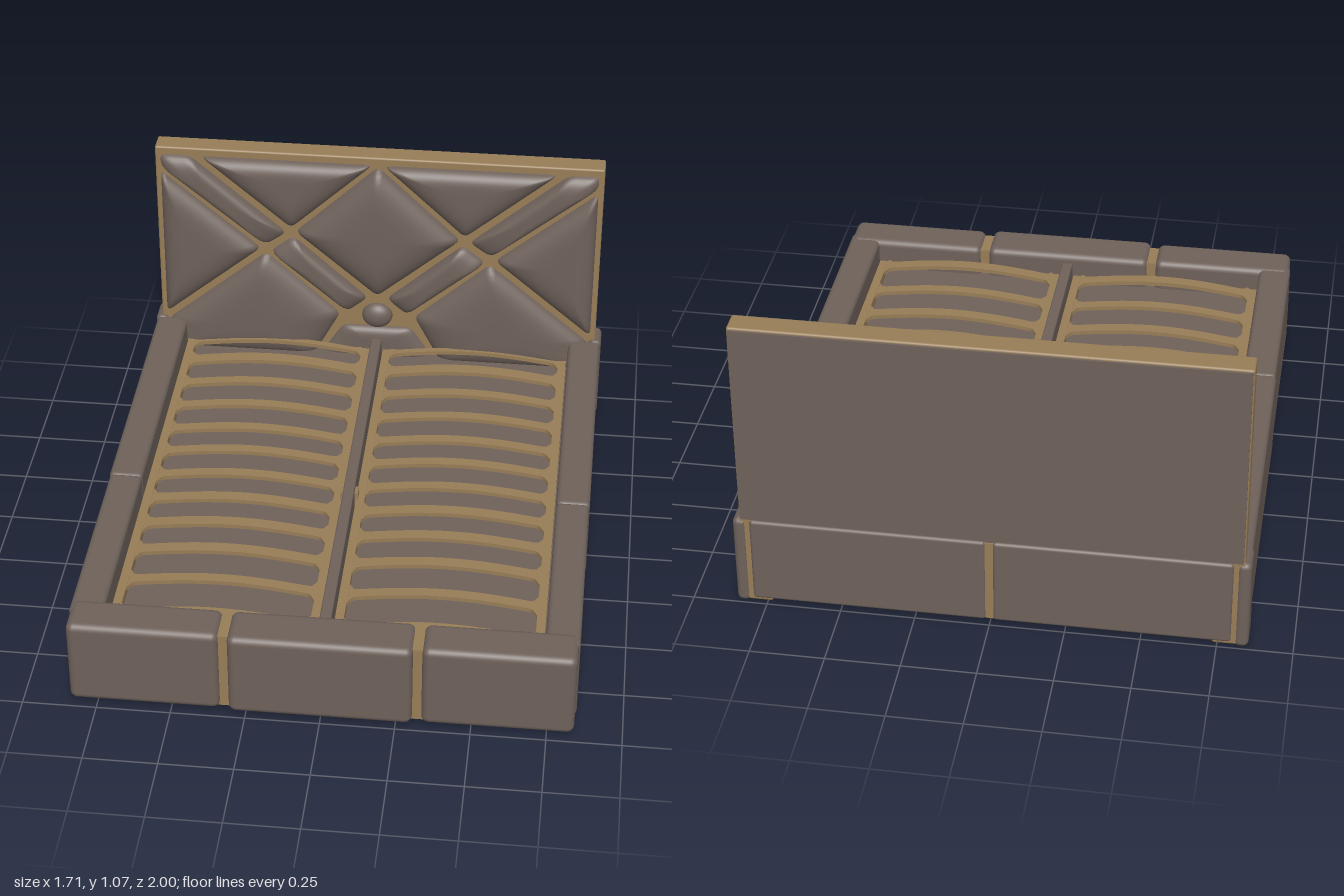
import * as THREE from 'three';
import { RoundedBoxGeometry } from 'three/addons/geometries/RoundedBoxGeometry.js';

const fabric = new THREE.MeshStandardMaterial({ color: 0x6e615a });
fabric.name = 'taupe fabric';
const wood = new THREE.MeshStandardMaterial({ color: 0x977d57 });
wood.name = 'tan wood';

export function createModel() {
  const bed = new THREE.Group();
  bed.name = 'bed';

  const add = (name, geometry, material) => {
    const mesh = new THREE.Mesh(geometry, material);
    mesh.name = name;
    bed.add(mesh);
    return mesh;
  };
  // Box given by its two extreme corners; a radius rounds the edges
  const box = (name, material, [x0, x1], [y0, y1], [z0, z1], radius = 0) => {
    const size = [x1 - x0, y1 - y0, z1 - z0];
    const g = radius ? new RoundedBoxGeometry(...size, 3, radius) : new THREE.BoxGeometry(...size);
    g.translate((x0 + x1) / 2, (y0 + y1) / 2, (z0 + z1) / 2);
    return add(name, g, material);
  };
  const span = (s, a, b) => (s > 0 ? [a, b] : [-b, -a]);

  // Base platform
  box('basePlatform', fabric, [-0.8, 0.8], [0.03, 0.22], [-0.96, 0.9]);

  // Footboard: three cushions over a wooden core
  box('footboardCore', wood, [-0.36, 0.36], [0.025, 0.32], [0.855, 0.97]);
  box('footboardCentre', fabric, [-0.305, 0.305], [0.02, 0.335], [0.84, 1], 0.025);

  for (const s of [1, -1]) {
    box('footboardCushion', fabric, span(s, 0.335, 0.84), [0.02, 0.335], [0.84, 0.99], 0.025);
    // Side rails in two upholstered sections
    box('sideRailFront', fabric, span(s, 0.73, 0.845), [0.02, 0.33], [0.13, 0.9], 0.018);
    box('sideRailRear', fabric, span(s, 0.73, 0.848), [0.02, 0.33], [-0.9, 0.14], 0.018);
    // Rear corner posts and the exposed wood beside them
    box('cornerPost', fabric, span(s, 0.805, 0.853), [0, 0.335], [-0.995, -0.88], 0.02);
    box('cornerTrim', wood, span(s, 0.77, 0.83), [0.015, 0.335], [-0.99, -0.9]);
    box('rearPanel', fabric, span(s, 0.012, 0.795), [0.02, 0.335], [-1, -0.97], 0.012);
    // Feet
    box('frontFoot', wood, span(s, 0.73, 0.82), [0, 0.04], [0.83, 0.93], 0.012);
    box('rearFoot', wood, span(s, 0.73, 0.82), [0, 0.04], [-0.985, -0.9], 0.012);
  }
  box('rearSeam', wood, [-0.02, 0.02], [0.025, 0.33], [-0.994, -0.96]);

  // Headboard board with a fabric back
  box('headboardBoard', wood, [-0.83, 0.83], [0.1, 1.07], [-0.983, -0.9], 0.008);
  box('headboardBack', fabric, [-0.825, 0.825], [0.3, 1.062], [-0.99, -0.981]);

  // Padded cushion: rings of a convex outline shrinking to its centre as they rise
  const cushion = (name, outline, height) => {
    let pts = outline.map(([x, y]) => new THREE.Vector2(x, y));
    if (THREE.ShapeUtils.isClockWise(pts)) pts.reverse();
    // Round each corner with a short curve
    const loop = [];
    pts.forEach((p, i) => {
      const prev = pts[(i + pts.length - 1) % pts.length];
      const next = pts[(i + 1) % pts.length];
      const cut = (q) => p.clone().lerp(q, Math.min(0.025 / p.distanceTo(q), 0.4));
      const a = cut(prev), b = cut(next);
      loop.push(...new THREE.QuadraticBezierCurve(a, p, b).getPoints(4));
      const end = next.clone().lerp(p, Math.min(0.025 / p.distanceTo(next), 0.4));
      for (let k = 1; k < 6; k++) loop.push(b.clone().lerp(end, k / 6));
    });
    const n = loop.length, rings = 12;
    const c = loop.reduce((sum, p) => sum.add(p), new THREE.Vector2()).divideScalar(n);
    const pos = [], index = [];
    for (let r = 0; r < rings; r++) {
      const t = 1 - Math.pow(r / rings, 1.5);
      const z = -0.902 + height * Math.pow(1 - Math.pow(t, 4), 0.6);
      for (const p of loop) pos.push(c.x + (p.x - c.x) * t, c.y + (p.y - c.y) * t, z);
    }
    pos.push(c.x, c.y, -0.902 + height);
    for (let r = 0; r < rings; r++) {
      for (let i = 0; i < n; i++) {
        const j = (i + 1) % n, a = r * n + i, b = r * n + j;
        if (r === rings - 1) index.push(a, b, rings * n);
        else index.push(a, b, b + n, a, b + n, a + n);
      }
    }
    const g = new THREE.BufferGeometry();
    g.setAttribute('position', new THREE.Float32BufferAttribute(pos, 3));
    g.setIndex(index);
    g.computeVertexNormals();
    return add(name, g, fabric);
  };

  cushion('diamondCushion', [[0, 1.035], [0.31, 0.74], [0, 0.475], [-0.31, 0.74]], 0.06);
  cushion('lowerCentreCushion', [[-0.13, 0.34], [0.13, 0.34], [0.22, 0.2], [-0.22, 0.2]], 0.03);
  const sideCushions = {
    topCushion: [[[0.66, 1.04], [0.02, 1.04], [0.325, 0.755]], 0.048],
    upperBandCushion: [[[0.81, 1.04], [0.7, 1.04], [0.342, 0.732], [0.42, 0.675], [0.81, 0.995]], 0.042],
    lowerBandCushion: [[[0.318, 0.718], [0.405, 0.65], [0.11, 0.4], [0.035, 0.465]], 0.045],
    outerCushion: [[[0.81, 0.97], [0.44, 0.66], [0.81, 0.35]], 0.05],
    bottomCushion: [[[0.422, 0.642], [0.8, 0.325], [0.8, 0.2], [0.24, 0.2], [0.14, 0.39]], 0.052],
  };
  for (const [name, [outline, height]] of Object.entries(sideCushions)) {
    for (const s of [1, -1]) cushion(name, outline.map(([x, y]) => [s * x, y]), height);
  }
  // Round button where the bands meet
  const button = new THREE.SphereGeometry(0.058, 24, 16).scale(1, 0.9, 0.65);
  add('centreButton', button, fabric).position.set(0, 0.39, -0.9);

  // Slat frames: edges plus bowed slats that flare where they meet the edges
  const slats = [[-0.865, -0.84], [-0.75, -0.7], [-0.59, -0.55], [-0.44, -0.4], [-0.29, -0.25],
    [-0.15, -0.11], [-0.005, 0.035], [0.135, 0.18], [0.28, 0.325], [0.43, 0.475], [0.6, 0.64], [0.78, 0.825]];
  const length = 0.64, flare = 0.03;
  for (const s of [1, -1]) {
    box('slatFrameInner', wood, span(s, 0.025, 0.055), [0.215, 0.255], [-0.865, 0.83]);
    box('slatFrameOuter', wood, span(s, 0.695, 0.725), [0.215, 0.255], [-0.865, 0.83]);
    for (const [z0, z1] of slats) {
      const g = new THREE.BoxGeometry(length, 0.015, z1 - z0, 40, 1, 1);
      const p = g.attributes.position;
      for (let i = 0; i < p.count; i++) {
        const x = p.getX(i);
        const near = Math.max(0, flare - (length / 2 - Math.abs(x)));
        const extra = flare - Math.sqrt(Math.max(0, flare * flare - near * near));
        p.setZ(i, p.getZ(i) + Math.sign(p.getZ(i)) * extra);
        p.setY(i, p.getY(i) + 0.03 * Math.cos((x / length) * Math.PI));
      }
      g.computeVertexNormals();
      add('slat', g, wood).position.set(s * 0.375, 0.246, (z0 + z1) / 2);
    }
  }

  // Centre beam and its bracket
  box('centreBeam', fabric, [-0.02, 0.02], [0.21, 0.3], [-0.87, 0.85], 0.006);
  box('beamBracket', wood, [-0.032, 0.032], [0.21, 0.285], [0.06, 0.1]);

  return bed;
}
